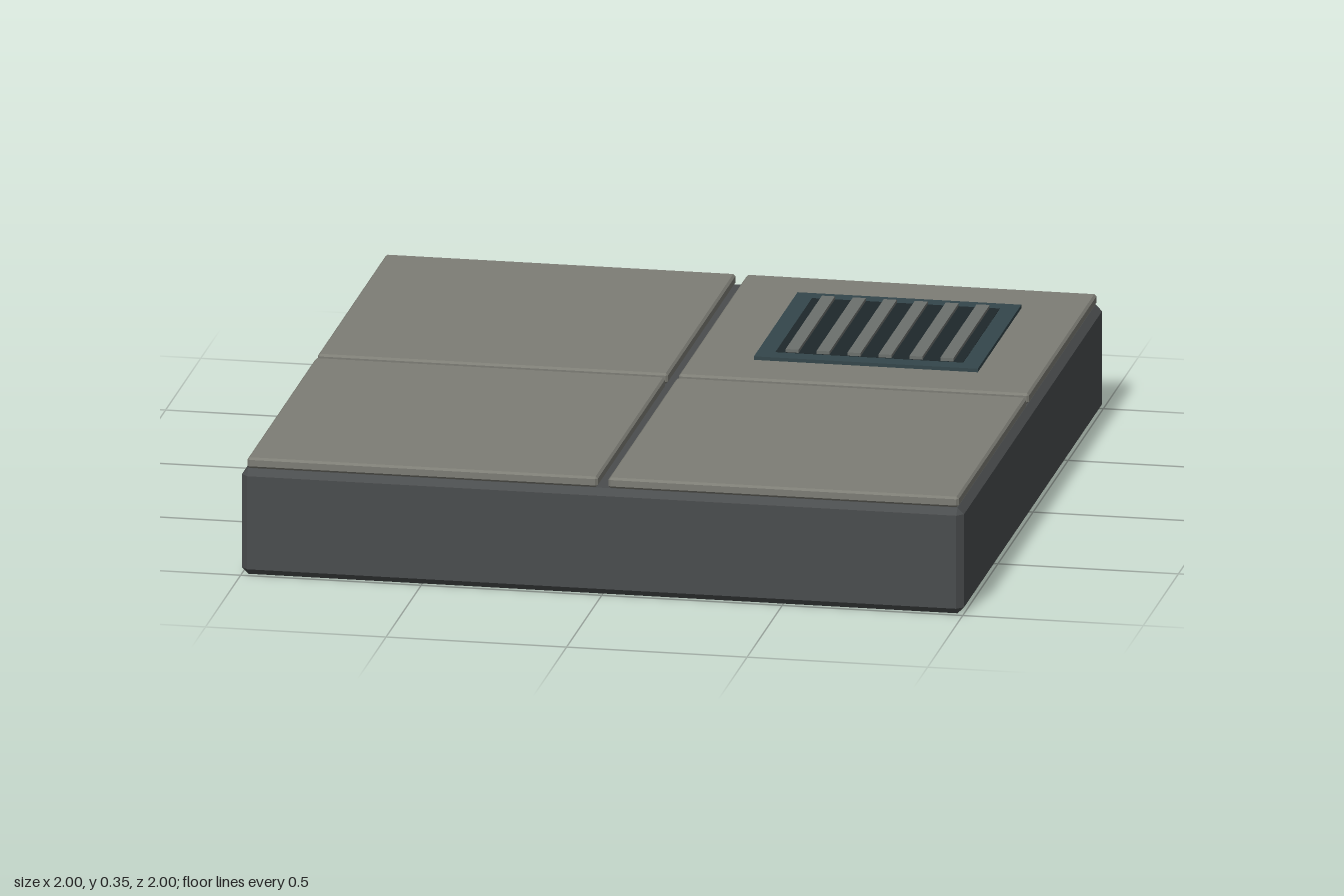
import * as THREE from 'three';
import { ConvexGeometry } from 'three/addons/geometries/ConvexGeometry.js';

const material = (color) => new THREE.MeshStandardMaterial({ color });

// Box with flat chamfers on every edge and corner
function chamferedBox(w, h, d, c) {
  const points = [];
  for (const x of [-w / 2, w / 2])
    for (const y of [-h / 2, h / 2])
      for (const z of [-d / 2, d / 2]) {
        const ix = x - Math.sign(x) * c, iy = y - Math.sign(y) * c, iz = z - Math.sign(z) * c;
        points.push(
          new THREE.Vector3(x, iy, iz),
          new THREE.Vector3(ix, y, iz),
          new THREE.Vector3(ix, iy, z)
        );
      }
  return new ConvexGeometry(points);
}

export function createModel() {
  const model = new THREE.Group();
  model.name = 'floorTile';

  const add = (parent, name, geometry, mat, x, y, z) => {
    const mesh = new THREE.Mesh(geometry, mat);
    mesh.name = name;
    mesh.position.set(x, y, z);
    parent.add(mesh);
  };

  // Foundation slab
  add(model, 'base', chamferedBox(2, 0.3, 2, 0.018), material(0x4a4d4e), 0, 0.15, 0);

  // Four paving slabs separated by a cross-shaped groove
  const slab = chamferedBox(0.97, 0.03, 0.97, 0.006);
  const slabMaterial = material(0x7d7d75);
  for (const x of [-0.5, 0.5])
    for (const z of [-0.5, 0.5]) add(model, 'pavingSlab', slab, slabMaterial, x, 0.315, z);

  // Vent set on the back left slab
  const vent = new THREE.Group();
  vent.name = 'vent';
  vent.position.set(0.5, 0.33, -0.5);
  model.add(vent);

  // Flat frame with a square opening
  const outline = new THREE.Shape();
  outline.moveTo(-0.31, -0.31).lineTo(0.31, -0.31).lineTo(0.31, 0.31).lineTo(-0.31, 0.31).closePath();
  const opening = new THREE.Path();
  opening.moveTo(-0.26, -0.26).lineTo(-0.26, 0.26).lineTo(0.26, 0.26).lineTo(0.26, -0.26).closePath();
  outline.holes.push(opening);
  const frame = new THREE.ExtrudeGeometry(outline, { depth: 0.01, bevelEnabled: false });
  frame.rotateX(-Math.PI / 2);
  add(vent, 'ventFrame', frame, material(0x34464b), 0, 0, 0);

  // Dark backing and raised bars
  add(vent, 'ventBacking', new THREE.BoxGeometry(0.52, 0.011, 0.52), material(0x1e282b), 0, 0.0055, 0);
  const bar = new THREE.BoxGeometry(0.036, 0.012, 0.516);
  const barMaterial = material(0x6c706d);
  for (let i = 0; i < 6; i++) add(vent, 'ventBar', bar, barMaterial, (i - 2.5) * 0.0857, 0.014, 0);

  return model;
}
